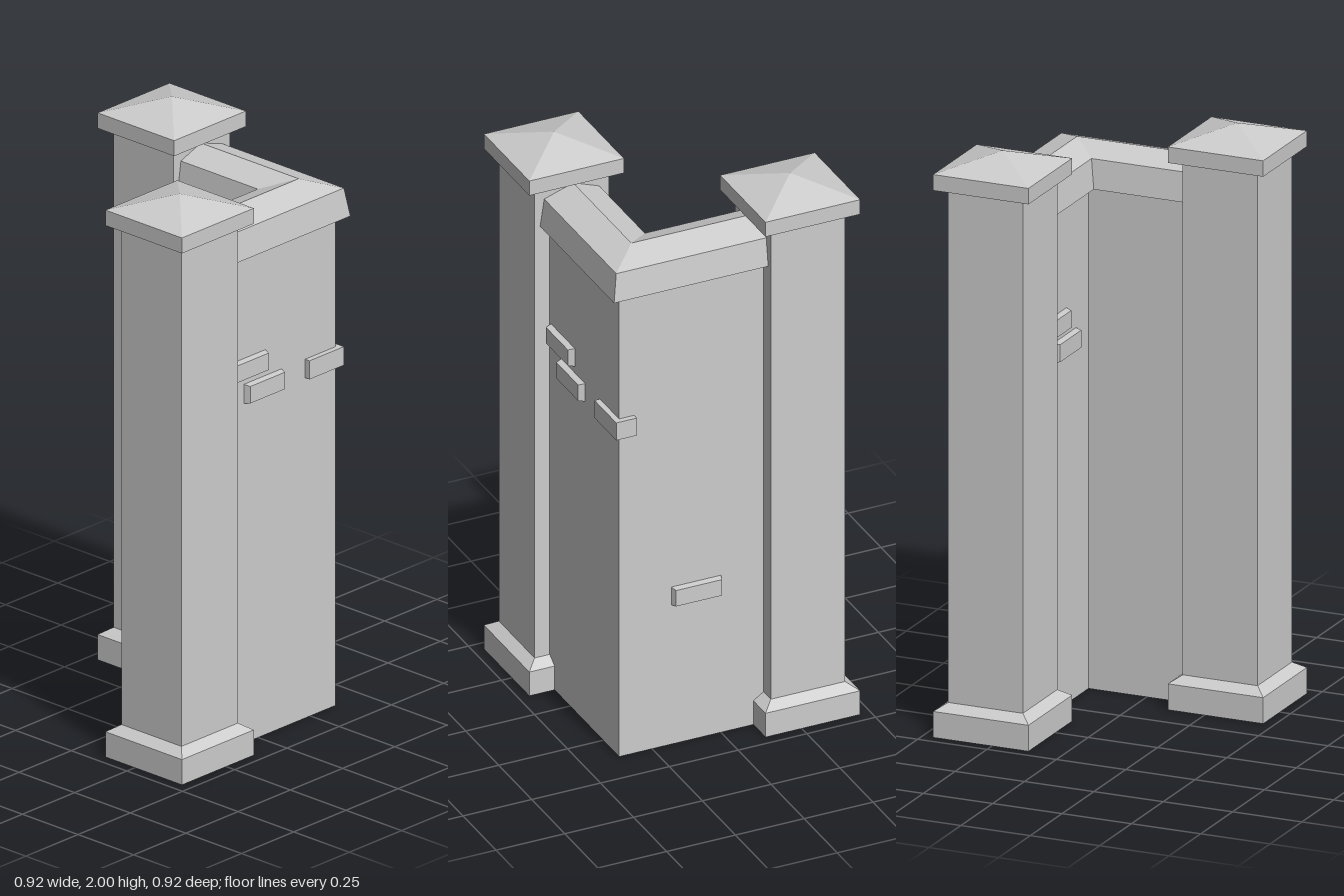
import * as THREE from 'three';

const material = new THREE.MeshStandardMaterial({ color: 0xcccccc, flatShading: true });

function add(parent, geometry, name) {
  const flat = geometry.index ? geometry.toNonIndexed() : geometry;
  flat.computeVertexNormals();
  const mesh = new THREE.Mesh(flat, material);
  mesh.name = name;
  parent.add(mesh);
  return mesh;
}

// Square turned solid from [half width, height] pairs
function squareLathe(profile) {
  const points = profile.map(([w, y]) => new THREE.Vector2(w * Math.SQRT2, y));
  return new THREE.LatheGeometry(points, 4, Math.PI / 4);
}

// Closed [offset, height] profile swept round the mitred corner, ends inside the pillars
function cornerSweep(profile) {
  const end = 0.29, n = profile.length;
  const positions = [], index = [];
  for (const [o, y] of profile) positions.push(-end, y, -o);
  for (const [o, y] of profile) positions.push(o, y, -o);
  for (const [o, y] of profile) positions.push(o, y, end);
  for (let s = 0; s < 2; s++) {
    for (let j = 0; j < n; j++) {
      const k = (j + 1) % n;
      const a = s * n + j, b = a + n, c = (s + 1) * n + k, d = s * n + k;
      index.push(a, c, b, a, d, c);
    }
  }
  const geometry = new THREE.BufferGeometry();
  geometry.setAttribute('position', new THREE.Float32BufferAttribute(positions, 3));
  geometry.setIndex(index);
  return geometry;
}

// Brick whose outer (+z) face is slightly smaller than its back
function brickGeometry(length, height, depth) {
  const geometry = new THREE.BoxGeometry(length, height, depth);
  const p = geometry.attributes.position;
  for (let i = 0; i < p.count; i++) {
    if (p.getZ(i) > 0) {
      p.setX(i, p.getX(i) - Math.sign(p.getX(i)) * 0.008);
      p.setY(i, p.getY(i) - Math.sign(p.getY(i)) * 0.004);
    }
  }
  return geometry;
}

export function createModel() {
  const model = new THREE.Group();
  model.name = 'cornerWall';

  // Two pillars at the ends of the wall
  for (const [side, name] of [[-1, 'rightPillar'], [1, 'leftPillar']]) {
    const pillar = new THREE.Group();
    pillar.name = name;
    pillar.position.set(side * 0.29, 0, side * 0.29);
    add(pillar, squareLathe([[0, 0], [0.172, 0], [0.172, 0.09], [0.135, 0.115], [0, 0.115]]), 'plinth');
    add(pillar, squareLathe([[0.135, 0.1], [0.135, 1.9]]), 'shaft');
    add(pillar, squareLathe([[0, 1.89], [0.172, 1.89], [0.172, 1.945], [0, 2]]), 'cap');
    model.add(pillar);
  }

  // L-shaped wall and its ridged coping
  add(model, cornerSweep([[0.37, 0], [0.37, 1.76], [0.21, 1.76], [0.21, 0]]), 'wall');
  add(model, cornerSweep([[0.405, 1.74], [0.39, 1.84], [0.285, 1.875], [0.19, 1.84], [0.175, 1.74]]), 'coping');

  // Raised bricks: x, y, z, turn about y
  const bricks = [
    [-0.055, 1.335, -0.2, 0],
    [0.023, 1.243, -0.2, 0],
    [0.38, 1.335, 0.055, Math.PI / 2],
    [0.38, 1.243, -0.023, Math.PI / 2],
    [0.09, 0.56, -0.38, Math.PI],
  ];
  for (const [x, y, z, turn] of bricks) {
    const brick = add(model, brickGeometry(0.182, 0.068, 0.024), 'raisedBrick');
    brick.position.set(x, y, z);
    brick.rotation.y = turn;
  }

  // Brick wrapping the outer corner
  const corner = add(model, new THREE.BoxGeometry(0.075, 0.066, 0.165), 'cornerBrick');
  corner.position.set(0.3525, 1.243, -0.3075);

  return model;
}
